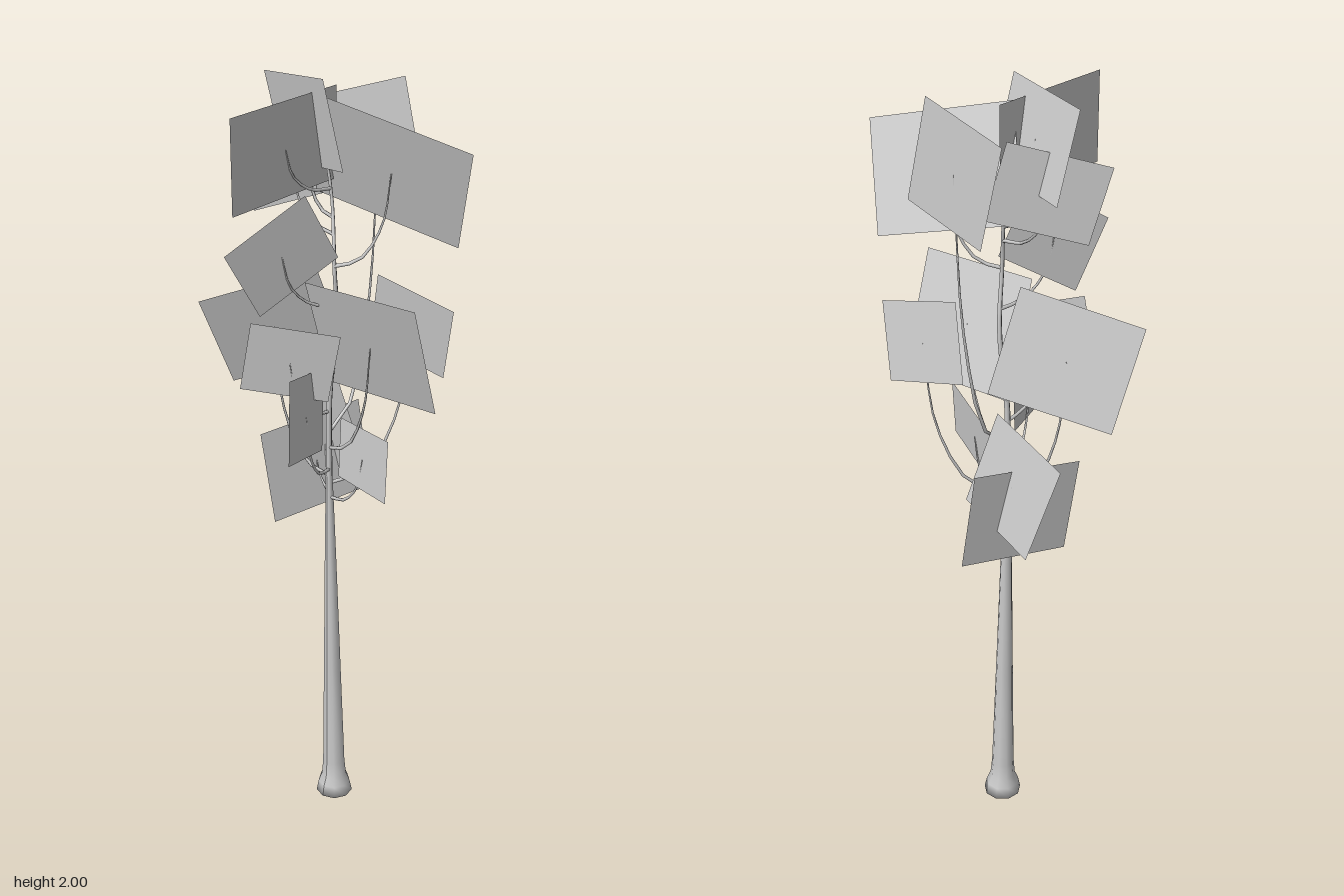
import * as THREE from 'three';

const bark = new THREE.MeshStandardMaterial({ color: 0xcccccc });
const foliage = new THREE.MeshStandardMaterial({ color: 0xcccccc, side: THREE.DoubleSide });
const vec = (p) => new THREE.Vector3(...p);

// Tube along a curve whose rings shrink from r0 to r1
function taperedTube(points, r0, r1, segments, sides) {
  const curve = new THREE.CatmullRomCurve3(points);
  const geo = new THREE.TubeGeometry(curve, segments, 1, sides);
  const pos = geo.attributes.position;
  const v = new THREE.Vector3();
  for (let i = 0; i < pos.count; i++) {
    const t = Math.floor(i / (sides + 1)) / segments;
    const c = curve.getPointAt(t);
    v.fromBufferAttribute(pos, i).sub(c).multiplyScalar(r0 + (r1 - r0) * t).add(c);
    pos.setXYZ(i, v.x, v.y, v.z);
  }
  return geo;
}

// Flat leaf card from three consecutive corners of a parallelogram
function leafCard(a, b, c) {
  const d = a.clone().add(c).sub(b);
  const geo = new THREE.BufferGeometry().setFromPoints([a, b, c, d]);
  geo.setAttribute('uv', new THREE.Float32BufferAttribute([0, 1, 1, 1, 1, 0, 0, 0], 2));
  geo.setIndex([0, 2, 1, 0, 3, 2]);
  geo.computeVertexNormals();
  return geo;
}

// Each entry: height where the branch leaves the stem, then three card corners
const leaves = [
  // top tier
  [1.66, [-0.25, 1.975, -0.066], [-0.01, 2.0, 0.004], [0.022, 1.785, -0.03]],
  [1.54, [-0.043, 1.95, -0.035], [0.32, 1.86, -0.12], [0.24, 1.61, -0.19]],
  [1.62, [-0.275, 1.83, 0.027], [-0.235, 1.65, -0.005], [-0.06, 1.71, -0.16]],
  [1.72, [-0.05, 1.955, 0.267], [-0.065, 1.96, -0.11], [-0.065, 1.74, -0.11]],
  [1.1, [0.057, 1.98, -0.212], [-0.16, 1.91, -0.215], [-0.1, 1.665, -0.217]],
  // middle tier
  [1.45, [-0.025, 1.74, 0.05], [0, 1.575, -0.04], [-0.09, 1.455, 0.14]],
  [0.98, [-0.08, 1.525, -0.055], [-0.065, 1.285, -0.157], [-0.305, 1.19, 0.01]],
  [1.05, [0.267, 1.515, 0.01], [0.267, 1.23, -0.083], [-0.055, 1.23, -0.075]],
  [1.15, [-0.105, 1.44, 0.157], [0.058, 1.405, 0.02], [0.025, 1.23, 0.027]],
  [0.96, [0.234, 1.45, -0.19], [0.016, 1.5, -0.173], [-0.025, 1.31, -0.197]],
  [1.0, [0.018, 1.325, 0.16], [0.032, 1.115, 0.182], [0, 1.09, 0.02]],
  // bottom tier
  [0.94, [-0.295, 1.16, -0.17], [-0.22, 0.91, -0.203], [0.015, 0.965, -0.148]],
  [0.93, [-0.1, 1.11, -0.246], [-0.07, 0.86, -0.263], [-0.17, 0.825, 0.01]],
  [0.92, [0.2, 1.17, 0.013], [0.21, 1.015, 0.034], [-0.03, 0.97, -0.08]],
];

export function createModel() {
  const tree = new THREE.Group();
  tree.name = 'tree';
  const add = (name, geo, mat) => {
    const mesh = new THREE.Mesh(geo, mat);
    mesh.name = name;
    tree.add(mesh);
  };

  // Trunk with flared foot, leaning slightly as it rises
  const profile = [[0, 0], [0.05, 0], [0.044, 0.03], [0.034, 0.055], [0.03, 0.1],
    [0.023, 0.4], [0.015, 0.75], [0.009, 0.98]].map(([r, y]) => new THREE.Vector2(r, y));
  const trunk = new THREE.LatheGeometry(profile, 9);
  const pos = trunk.attributes.position;
  for (let i = 0; i < pos.count; i++) {
    const y = pos.getY(i);
    pos.setX(i, pos.getX(i) - 0.018 - 0.02 * y);
    pos.setZ(i, pos.getZ(i) - 0.052);
  }
  trunk.computeVertexNormals();
  add('trunk', trunk, bark);

  // Thin stem carrying the upper tiers
  const stem = [[-0.037, 0.96, -0.052], [-0.035, 1.2, -0.05], [-0.02, 1.4, -0.06],
    [-0.012, 1.55, -0.04], [-0.04, 1.7, -0.065], [-0.06, 1.88, -0.05]].map(vec);
  add('stem', taperedTube(stem, 0.009, 0.003, 20, 6), bark);
  const stemCurve = new THREE.CatmullRomCurve3(stem);
  const stemAt = (y) => {
    if (y < 0.96) return new THREE.Vector3(-0.018 - 0.02 * y, y, -0.052);
    const pts = stemCurve.getPoints(60);
    return pts.find((p) => p.y >= y) ?? pts[60];
  };

  // Leaf cards, each held at its centre by a branch sweeping out then up
  leaves.forEach(([y, ...corners]) => {
    const [a, b, c] = corners.map(vec);
    add('leafCard', leafCard(a, b, c), foliage);
    const start = stemAt(y);
    const tip = a.clone().add(c).multiplyScalar(0.5);
    const bend = (out, up) => new THREE.Vector3(
      THREE.MathUtils.lerp(start.x, tip.x, out),
      THREE.MathUtils.lerp(start.y, tip.y, up),
      THREE.MathUtils.lerp(start.z, tip.z, out));
    add('branch', taperedTube([start, bend(0.45, 0.08), bend(0.85, 0.45), tip],
      0.005, 0.0015, 8, 5), bark);
  });
  return tree;
}
